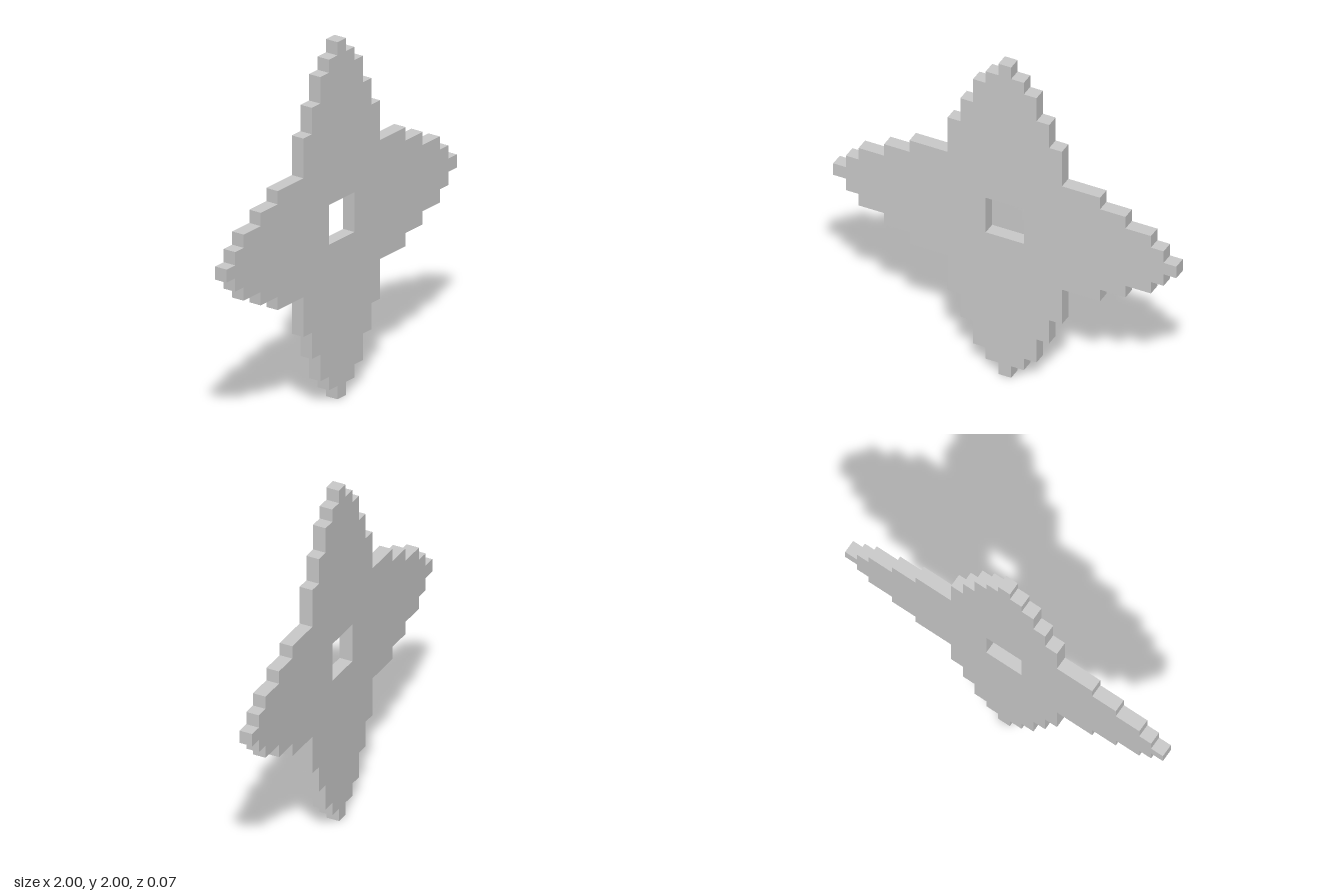
import * as THREE from 'three';

const U = 2 / 27; // one grid cell; the star spans 27 cells
const HUB = 4.5; // half width of the square where the points meet
const HOLE = 1.5; // half width of the centre hole
// Each step of a point: [distance from centre, half width], in cells
const STEPS = [[13.5, 0.5], [12.5, 1.5], [11.5, 2.5], [9.5, 3.5], [7.5, HUB]];

// Stepped outline of one quadrant, from the +x tip round to the +y tip
function quadrantOutline() {
  const half = [];
  STEPS.forEach(([reach, width], i) => {
    const nextReach = i + 1 < STEPS.length ? STEPS[i + 1][0] : HUB;
    half.push([reach, width], [nextReach, width]);
  });
  // Mirror across the diagonal, sharing the inner corner
  const mirrored = half.slice(0, -1).reverse().map(([x, y]) => [y, x]);
  return [...half, ...mirrored];
}

export function createModel() {
  const group = new THREE.Group();
  group.name = 'throwingStar';

  // Four quarter turns of the quadrant close the outline
  const points = [];
  let quadrant = quadrantOutline();
  for (let i = 0; i < 4; i++) {
    points.push(...quadrant.map(([x, y]) => new THREE.Vector2(x * U, y * U)));
    quadrant = quadrant.map(([x, y]) => [-y, x]);
  }
  const shape = new THREE.Shape(points);

  // Square centre hole
  const h = HOLE * U;
  shape.holes.push(new THREE.Path([
    new THREE.Vector2(-h, -h),
    new THREE.Vector2(-h, h),
    new THREE.Vector2(h, h),
    new THREE.Vector2(h, -h),
  ]));

  // Plate one cell thick, standing on its lower point
  const geometry = new THREE.ExtrudeGeometry(shape, { depth: U, bevelEnabled: false });
  geometry.translate(0, 1, -U / 2);
  const star = new THREE.Mesh(
    geometry,
    new THREE.MeshStandardMaterial({ color: 0xcccccc, flatShading: true }),
  );
  star.name = 'starPlate';
  group.add(star);
  return group;
}
